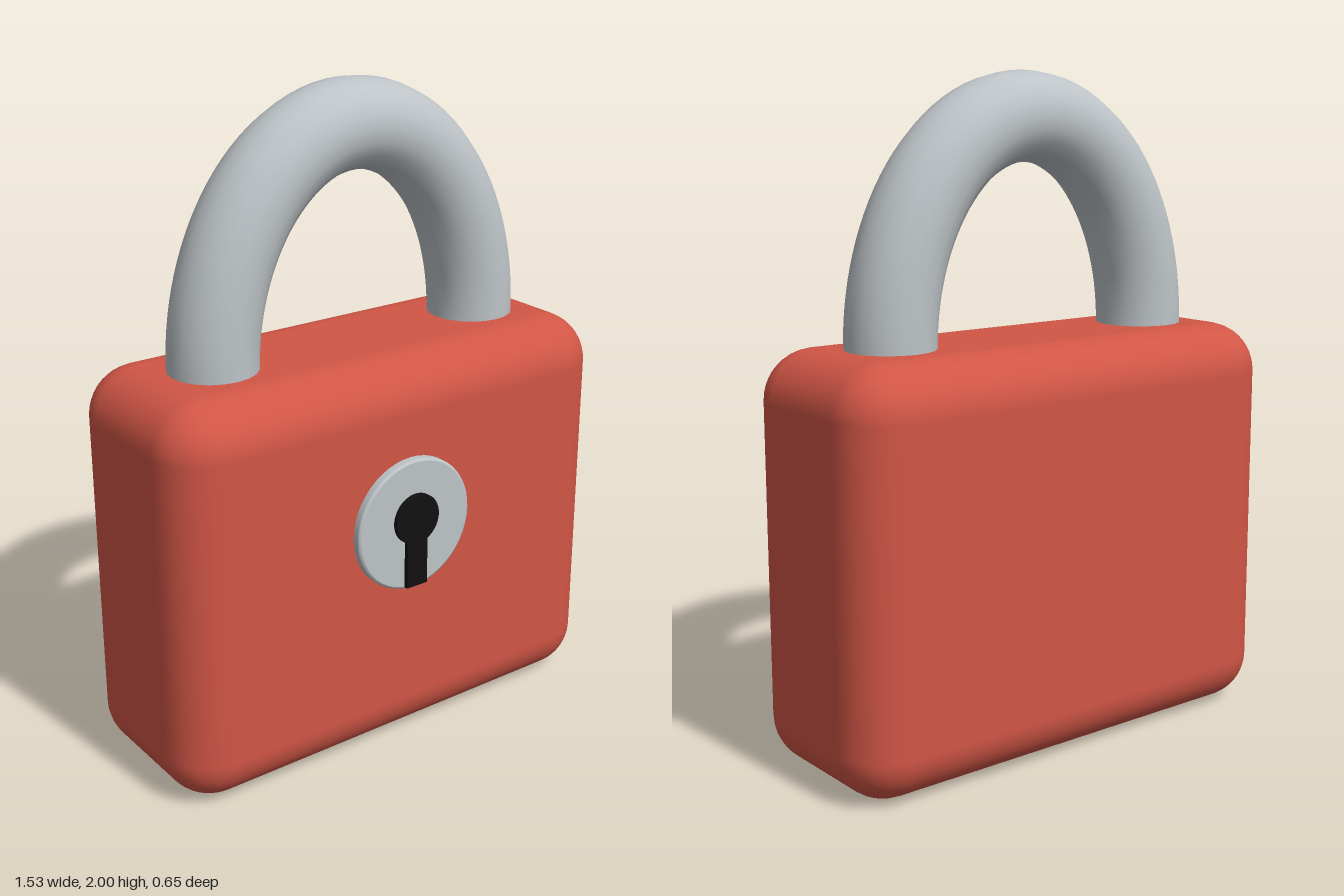
import * as THREE from 'three';
import { RoundedBoxGeometry } from 'three/addons/geometries/RoundedBoxGeometry.js';

const Z = -0.02; // depth centre of body and shackle

class ShackleCurve extends THREE.Curve {
  // Half ellipse with short straight ends sunk into the body
  getPoint(t, target = new THREE.Vector3()) {
    const a = (t * 1.06 - 0.03) * Math.PI;
    const c = THREE.MathUtils.clamp(a, 0, Math.PI);
    const sink = Math.abs(a - c) * 0.64;
    return target.set(0.47 * Math.cos(c), 1.23 + 0.638 * Math.sin(c) - sink, Z);
  }
}

export function createModel() {
  const red = new THREE.MeshStandardMaterial({ color: 0xd15646 });
  red.name = 'red paint';
  const steel = new THREE.MeshStandardMaterial({ color: 0xbdc3c7 });
  steel.name = 'steel';
  const black = new THREE.MeshStandardMaterial({ color: 0x111111 });
  black.name = 'black';

  const group = new THREE.Group();
  group.name = 'padlock';
  const add = (name, geometry, material, x, y, z) => {
    const mesh = new THREE.Mesh(geometry, material);
    mesh.name = name;
    mesh.position.set(x, y, z);
    group.add(mesh);
    return mesh;
  };

  // Rounded body
  add('body', new RoundedBoxGeometry(1.535, 1.23, 0.61, 5, 0.15), red, 0, 0.615, Z);

  // Bent steel bar
  add('shackle', new THREE.TubeGeometry(new ShackleCurve(), 56, 0.132, 20), steel, 0, 0, 0);

  // Round lock plate with a softened rim
  const profile = [[0.205, -0.02], [0.205, 0.02], [0.203, 0.025], [0.197, 0.028]]
    .map(([r, y]) => new THREE.Vector2(r, y));
  add('lockPlateRim', new THREE.LatheGeometry(profile, 48), steel, 0, 0.742, 0.283)
    .rotation.x = Math.PI / 2;
  add('lockPlateFace', new THREE.CircleGeometry(0.197, 48), steel, 0, 0.742, 0.311);

  // Keyhole: round top joined to a straight slot
  const r = 0.078, w = 0.037;
  const a = Math.asin(w / r);
  const hole = new THREE.Shape();
  hole.moveTo(-w, -0.215);
  hole.lineTo(w, -0.215);
  hole.absarc(0, 0, r, -Math.PI / 2 + a, Math.PI * 1.5 - a, false);
  hole.closePath();
  const keyhole = new THREE.ExtrudeGeometry(hole, { depth: 0.02, bevelEnabled: false, curveSegments: 32 });
  add('keyhole', keyhole, black, 0, 0.763, 0.305);

  return group;
}
